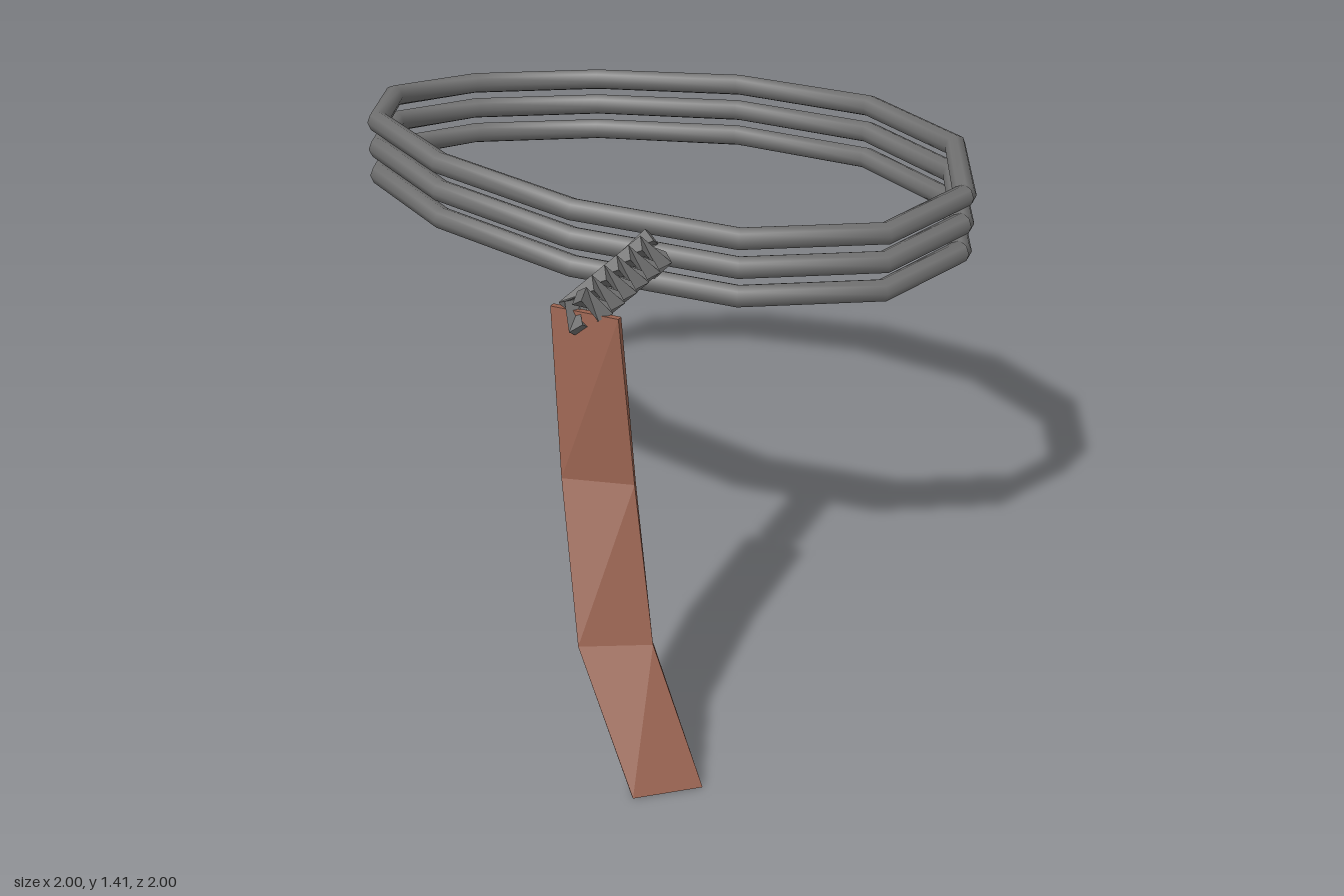
import * as THREE from 'three';

const wireGray = new THREE.MeshStandardMaterial({ name: 'wireGray', color: 0x6f6f6f });
const rustBrown = new THREE.MeshStandardMaterial({ name: 'rustBrown', color: 0x97614e });

// Skin a row of equal cross-sections, closed with end caps
function loft(rings, flat) {
  const n = rings[0].length, last = rings.length - 1, index = [];
  for (let i = 0; i < last; i++) {
    for (let j = 0; j < n; j++) {
      const k = (j + 1) % n, a = i * n + j, b = i * n + k, c = b + n, d = a + n;
      index.push(a, b, c, a, c, d);
    }
  }
  for (let j = 1; j < n - 1; j++) {
    index.push(0, j + 1, j, last * n, last * n + j, last * n + j + 1);
  }
  let geometry = new THREE.BufferGeometry().setFromPoints(rings.flat());
  geometry.setIndex(index);
  if (flat) geometry = geometry.toNonIndexed();
  geometry.computeVertexNormals();
  return geometry;
}

// Sweep a regular polygon along a polyline; hints give the sideways direction at each point
function sweep(points, hints, radius, sides, flat) {
  const last = points.length - 1;
  const rings = points.map((p, i) => {
    const t = points[Math.min(i + 1, last)].clone().sub(points[Math.max(i - 1, 0)]).normalize();
    const n = hints[i].clone().addScaledVector(t, -hints[i].dot(t)).normalize();
    const b = t.clone().cross(n);
    return Array.from({ length: sides }, (_, j) => {
      const a = (j / sides) * Math.PI * 2;
      return p.clone().addScaledVector(n, Math.cos(a) * radius).addScaledVector(b, Math.sin(a) * radius);
    });
  });
  return loft(rings, flat);
}

function add(group, name, geometry, material) {
  const mesh = new THREE.Mesh(geometry, material);
  mesh.name = name;
  group.add(mesh);
}

export function createModel() {
  const model = new THREE.Group();
  model.name = 'wireSnare';

  // Three stacked, gently warped twelve-sided oval loops, each with a seam at +x
  const loops = new THREE.Group();
  loops.name = 'wireLoops';
  for (let s = -1; s <= 1; s++) {
    const points = [], hints = [];
    for (let i = 0; i <= 12; i++) {
      const a = (i / 12) * Math.PI * 2;
      points.push(new THREE.Vector3(
        0.965 * Math.cos(a), 1.262 + s * 0.088 - 0.034 * Math.sin(2 * a), -0.366 + 0.6 * Math.sin(a)));
      hints.push(new THREE.Vector3(0, 1, 0));
    }
    add(loops, 'wireLoop', sweep(points, hints, 0.034, 8, false), wireGray);
  }
  model.add(loops);

  // Two angular strands twisted around each other, running forward from the loops
  const twist = new THREE.Group();
  twist.name = 'twistedWire';
  for (let s = 0; s < 2; s++) {
    const points = [], hints = [];
    for (let i = 0; i <= 12; i++) {
      const a = i * Math.PI / 2 + s * Math.PI;
      const out = new THREE.Vector3(Math.sin(a), Math.cos(a), 0);
      points.push(new THREE.Vector3(0.25, 1.265, 0.68 - i * 0.037).addScaledVector(out, 0.05));
      hints.push(out);
    }
    add(twist, 'twistStrand', sweep(points, hints, 0.031, 4, true), wireGray);
  }
  model.add(twist);

  // Hanging strip, bottom to top: [y, left x, left z, right x, right z] of the front face
  const rows = [
    [0, 0.57, 1.0, 0.72, 0.87],
    [0.36, 0.345, 0.885, 0.525, 0.785],
    [0.79, 0.225, 0.745, 0.42, 0.69],
    [1.26, 0.155, 0.665, 0.355, 0.66],
  ];
  const rings = rows.map(([y, x0, z0, x1, z1]) => {
    const l = new THREE.Vector3(x0, y, z0), r = new THREE.Vector3(x1, y, z1);
    const back = new THREE.Vector3(z1 - z0, 0, x0 - x1).setLength(0.018);
    return [l, r, r.clone().add(back), l.clone().add(back)];
  });
  add(model, 'hangingStrip', loft(rings, true), rustBrown);

  return model;
}
